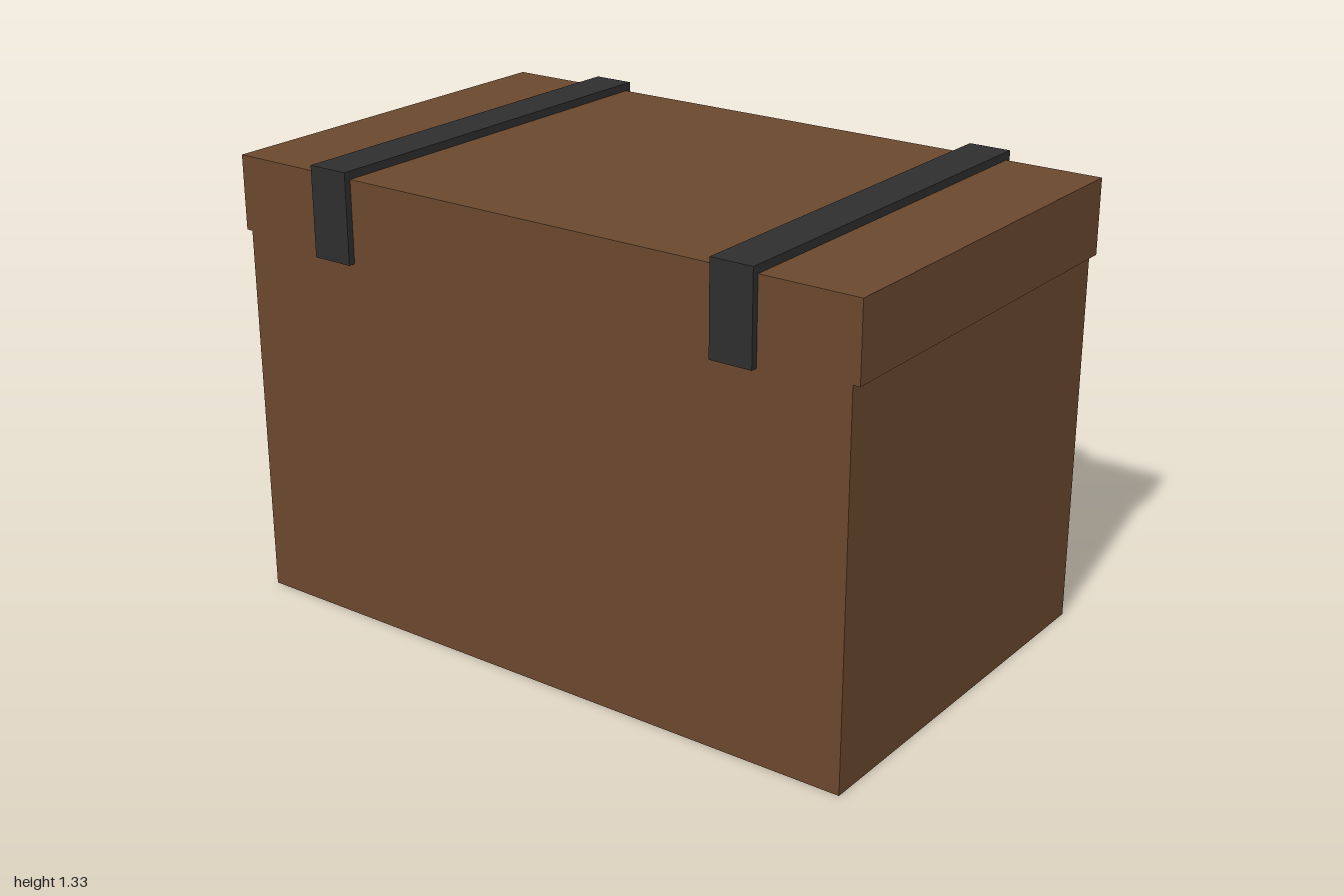
import * as THREE from 'three';

export function createModel() {
  const model = new THREE.Group();
  model.name = 'chest';
  const wood = new THREE.MeshStandardMaterial({ color: 0x6b482e, side: THREE.DoubleSide });
  wood.name = 'brown wood';
  const iron = new THREE.MeshStandardMaterial({ color: 0x2e2e2e });
  iron.name = 'dark iron';
  const brass = new THREE.MeshStandardMaterial({ color: 0xc9a227 });
  brass.name = 'brass';

  const add = (name, geometry, material, x, y, z) => {
    const mesh = new THREE.Mesh(geometry, material);
    mesh.name = name;
    mesh.position.set(x, y, z);
    model.add(mesh);
    return mesh;
  };

  // Thin box shell without the listed faces (2 = top, 3 = bottom)
  const shell = (w, h, d, open) => {
    const g = new THREE.BoxGeometry(w, h, d);
    const kept = Array.from(g.index.array).filter((_, i) => !open.includes(Math.floor(i / 6)));
    g.setIndex(kept);
    g.clearGroups();
    return g;
  };

  const W = 1.96, D = 1.2, RIM = 1.09, TOP = 1.305, BACK = -D / 2;

  // Open-bottomed body and slightly wider hollow lid
  add('body', shell(W, RIM, D, [2, 3]), wood, 0, RIM / 2, 0);
  add('lid', shell(2, TOP - RIM, D, [3]), wood, 0, (RIM + TOP) / 2, 0);

  // U-shaped strap folded over the lid
  const o = 0.62, i = 0.6, low = 1.07, high = 1.328;
  const band = new THREE.Shape([
    [-o, low], [-i, low], [-i, TOP], [i, TOP], [i, low], [o, low], [o, high], [-o, high],
  ].map(([x, y]) => new THREE.Vector2(x, y)));
  const strapGeo = new THREE.ExtrudeGeometry(band, { depth: 0.124, bevelEnabled: false });
  strapGeo.translate(0, 0, -0.062).rotateY(-Math.PI / 2);

  // Flat disc facing the back
  const disc = (r, depth, sides) =>
    new THREE.CylinderGeometry(r, r, depth, sides).rotateX(Math.PI / 2);

  for (const s of [1, -1]) {
    const side = s > 0 ? 'left' : 'right';
    add(side + 'LidStrap', strapGeo, iron, s * 0.652, 0, 0);

    // Vertical strip on the back wall with rivets along its edges
    add(side + 'BodyStrip', new THREE.BoxGeometry(0.2, RIM, 0.004), iron, s * 0.7, RIM / 2, BACK - 0.002);
    for (const edge of [0.61, 0.79])
      for (const y of [0.29, 0.58, 0.87])
        add(side + 'Rivet', disc(0.02, 0.005, 8), iron, s * edge, y, BACK - 0.0025);
  }

  // Lock plate and keyhole
  add('lockPlate', new THREE.BoxGeometry(0.285, 0.36, 0.004), brass, 0.037, 0.79, BACK - 0.002);
  add('keyhole', disc(0.035, 0.006, 8), iron, 0.005, 0.795, BACK - 0.003);

  return model;
}
